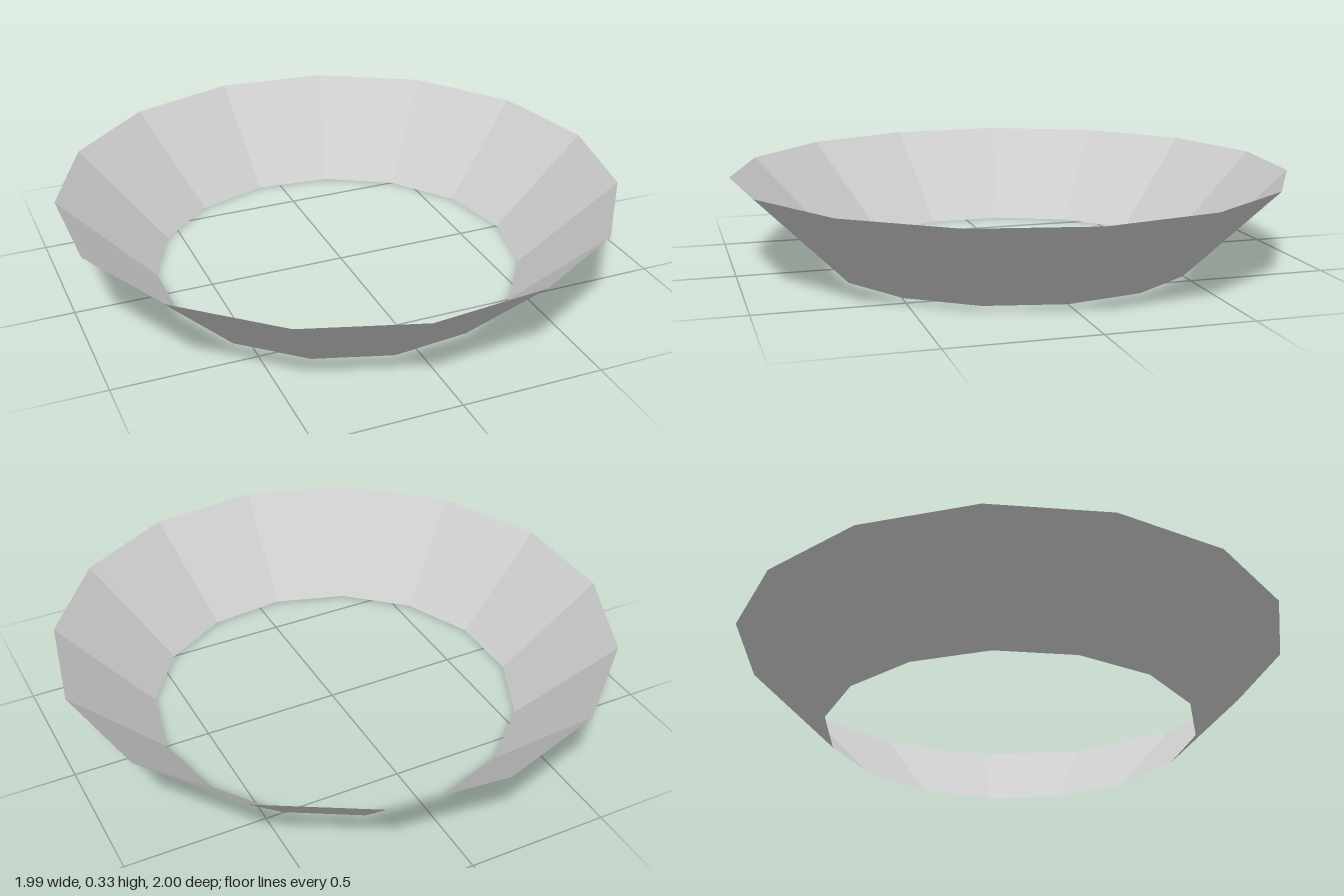
import * as THREE from 'three';

export function createModel() {
  const group = new THREE.Group();
  const sides = 15;
  const topRadius = 1.0055, bottomRadius = 0.67, height = 0.33;

  // Open flared ring: a thin faceted wall without floor or lid, one corner on +x
  const geometry = new THREE.CylinderGeometry(
    topRadius, bottomRadius, height, sides, 1, true, Math.PI / 2);
  const material = new THREE.MeshStandardMaterial({
    color: 0xcccccc, flatShading: true, side: THREE.DoubleSide,
  });
  const ring = new THREE.Mesh(geometry, material);
  ring.name = 'flaredRing';

  // An odd number of sides reaches further on +x, so shift to centre it
  const shift = topRadius * (1 - Math.cos(Math.PI / sides)) / 2;
  ring.position.set(-shift, height / 2, 0);
  group.add(ring);
  return group;
}
